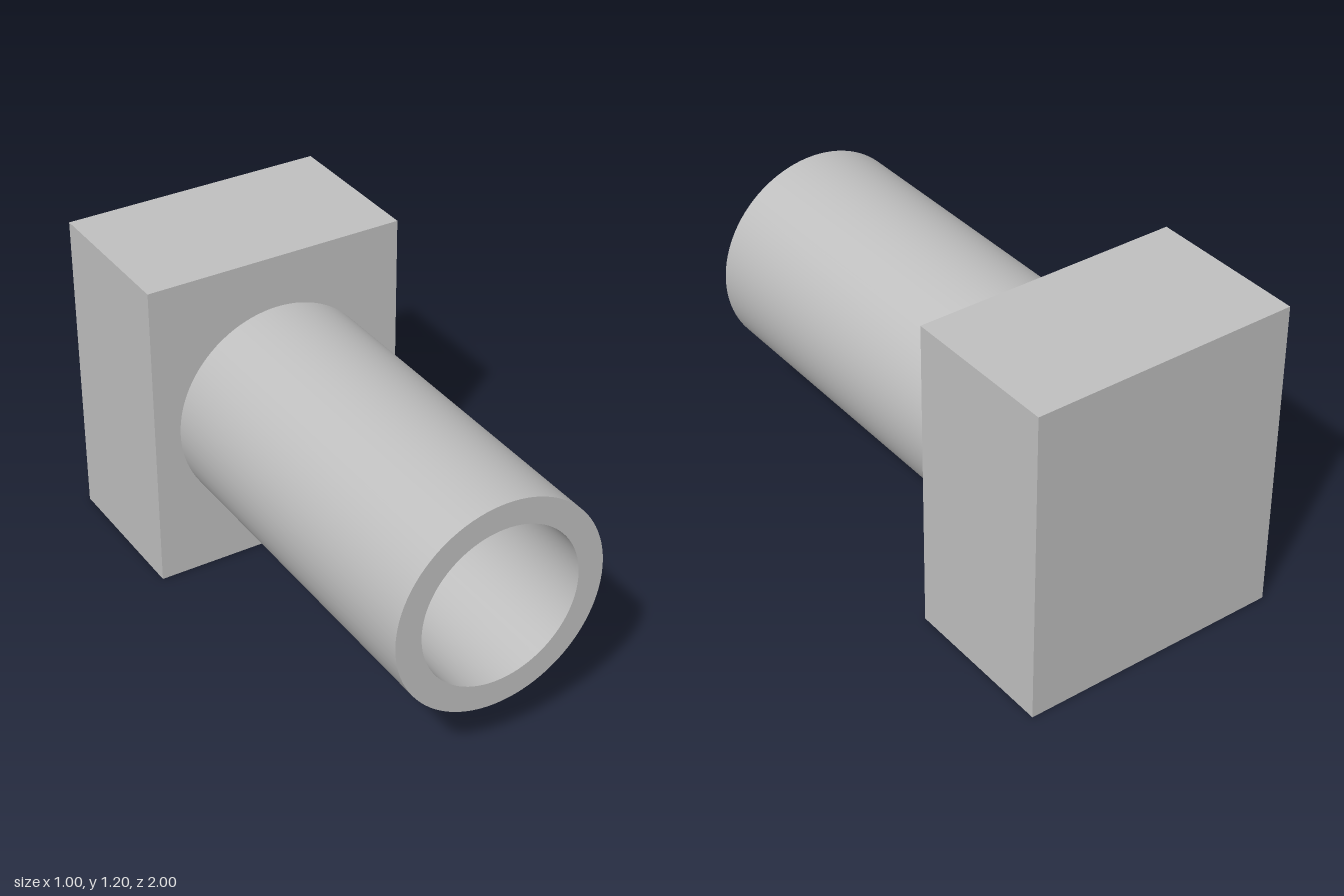
import * as THREE from 'three';

export function createModel() {
  const group = new THREE.Group();
  const grey = new THREE.MeshStandardMaterial({ color: 0xbfbfbf });
  grey.name = 'grey';

  const outer = 0.4, inner = 0.303, back = -0.4, front = 1;

  // Rectangular block at the back; its front face closes the bore
  const block = new THREE.Mesh(new THREE.BoxGeometry(1, 1.2, 0.6), grey);
  block.name = 'block';
  block.position.set(0, 0.6, -0.7);
  group.add(block);

  // Hollow tube, one lathe per surface so the rim edges stay sharp
  const tube = new THREE.Group();
  tube.name = 'tube';
  tube.position.y = 0.6;
  const surfaces = {
    tubeOuterWall: [[outer, back], [outer, front]],
    tubeRim: [[outer, front], [inner, front]],
    tubeBore: [[inner, front], [inner, back]],
  };
  for (const [name, profile] of Object.entries(surfaces)) {
    const points = profile.map(([r, z]) => new THREE.Vector2(r, z));
    const geometry = new THREE.LatheGeometry(points, 96).rotateX(Math.PI / 2);
    const mesh = new THREE.Mesh(geometry, grey);
    mesh.name = name;
    tube.add(mesh);
  }
  group.add(tube);

  return group;
}
